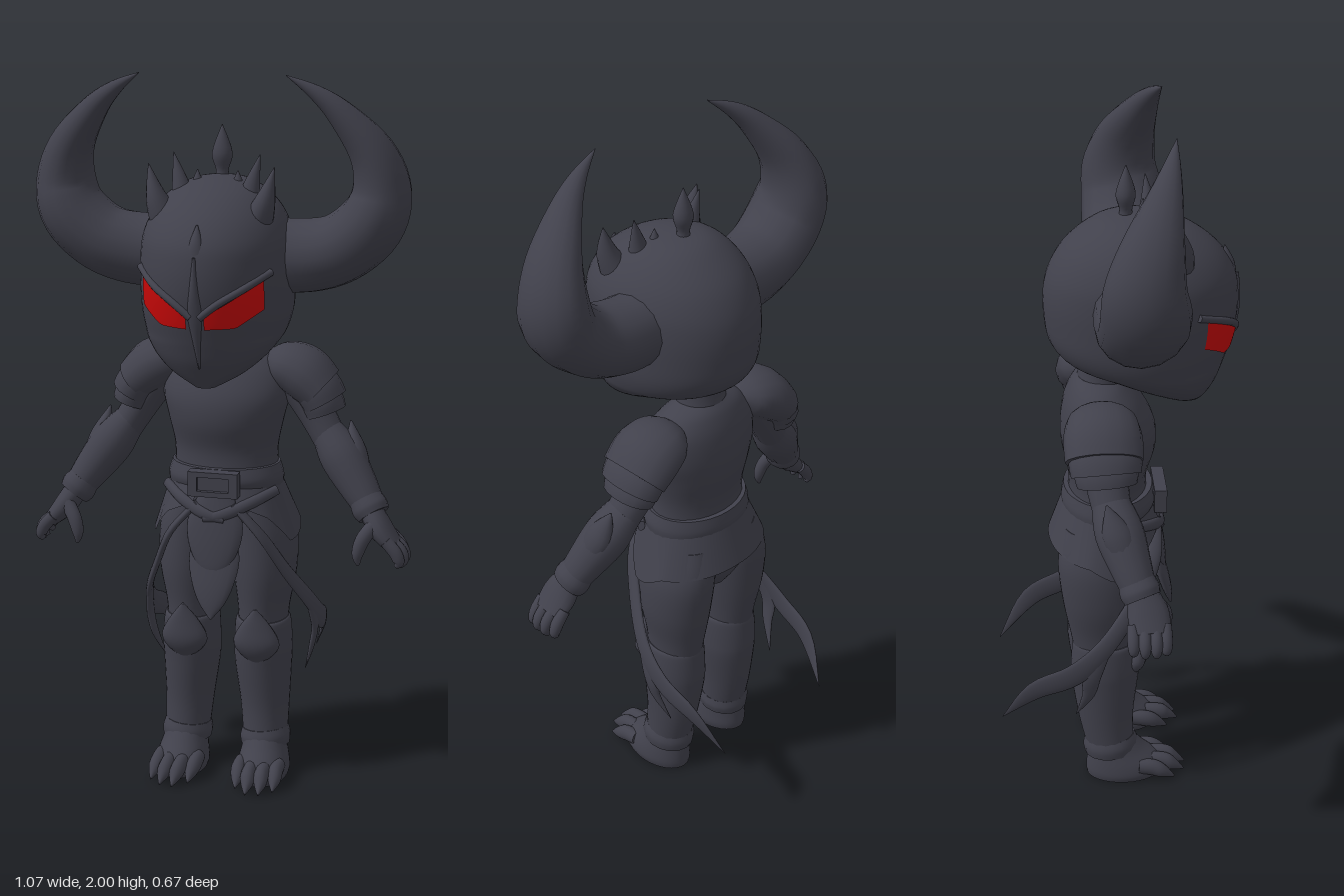
import * as THREE from 'three';

const V = (x, y, z) => new THREE.Vector3(x, y, z);
const armour = new THREE.MeshStandardMaterial({ color: 0x41414c, side: THREE.DoubleSide });
armour.name = 'dark armour';
const glow = new THREE.MeshStandardMaterial({ color: 0xc80808, side: THREE.DoubleSide });
glow.name = 'red eyes';

// Smoothly resample rows of numbers, column by column
function resample(rows, k = 5) {
  const out = [], last = rows.length - 1;
  const row = i => rows[Math.min(last, Math.max(0, i))];
  for (let s = 0; s <= last * k; s++) {
    const i = Math.min(last - 1, Math.floor(s / k)), t = s / k - i;
    out.push(row(i).map((p1, c) => {
      const p2 = row(i + 1)[c], m1 = (p2 - row(i - 1)[c]) / 2, m2 = (row(i + 2)[c] - p1) / 2;
      return p1 + m1 * t + (3 * (p2 - p1) - 2 * m1 - m2) * t * t + (2 * (p1 - p2) + m1 + m2) * t * t * t;
    }));
  }
  return out;
}

// Skin a list of closed rings and cap both ends
function skin(rings) {
  const n = rings[0].length, pos = [], idx = [];
  rings.forEach(r => r.forEach(p => pos.push(p.x, p.y, p.z)));
  for (let i = 0; i < rings.length - 1; i++) for (let j = 0; j < n; j++) {
    const a = i * n + j, b = i * n + (j + 1) % n;
    idx.push(a, b, b + n, a, b + n, a + n);
  }
  [rings[0], rings[rings.length - 1]].forEach((r, end) => {
    const base = pos.length / 3, mid = V(0, 0, 0);
    r.forEach(p => { pos.push(p.x, p.y, p.z); mid.addScaledVector(p, 1 / n); });
    pos.push(mid.x, mid.y, mid.z);
    for (let j = 0; j < n; j++) {
      const a = base + j, b = base + (j + 1) % n;
      idx.push(base + n, ...(end ? [a, b] : [b, a]));
    }
  });
  const g = new THREE.BufferGeometry();
  g.setAttribute('position', new THREE.Float32BufferAttribute(pos, 3));
  g.setIndex(idx);
  g.computeVertexNormals();
  return g;
}

// Horizontal oval sections: [y, centreX, halfWidth, backZ, frontZ]
function stack(rows, s = 1, n = 32) {
  return skin(resample(rows).map(([y, cx, rx, zb, zf]) => Array.from({ length: n }, (_, j) => {
    const a = j / n * Math.PI * 2;
    return V(s * cx + rx * Math.sin(a), y, (zb + zf) / 2 + (zf - zb) / 2 * Math.cos(a));
  })));
}

// Tapering oval tube: [x, y, z, radius across, radius along ref]
function limb(rows, s = 1, ref = V(0, 0, 1), n = 16) {
  const R = resample(rows.map(r => [s * r[0], ...r.slice(1)]));
  const P = R.map(r => V(r[0], r[1], r[2]));
  return skin(R.map((r, i) => {
    const t = P[Math.min(i + 1, P.length - 1)].clone().sub(P[Math.max(0, i - 1)]).normalize();
    const b = ref.clone().addScaledVector(t, -ref.dot(t)).normalize();
    const c = b.clone().cross(t);
    return Array.from({ length: n }, (_, j) => {
      const a = j / n * Math.PI * 2;
      return P[i].clone().addScaledVector(c, Math.max(0.001, r[3]) * Math.cos(a))
        .addScaledVector(b, Math.max(0.001, r[4]) * Math.sin(a));
    });
  }));
}

// Open surface given by a function of u, v
function sheet(nu, nv, f) {
  const g = new THREE.PlaneGeometry(1, 1, nu, nv), uv = g.attributes.uv;
  for (let i = 0; i < uv.count; i++) g.attributes.position.setXYZ(i, ...f(uv.getX(i), uv.getY(i)));
  g.computeVertexNormals();
  return g;
}

// Piecewise linear lookup in [[x, y], ...]
function lookup(table, x) {
  let i = 0;
  while (i < table.length - 2 && x > table[i + 1][0]) i++;
  const [a, b] = [table[i], table[i + 1]];
  return THREE.MathUtils.lerp(a[1], b[1], THREE.MathUtils.clamp((x - a[0]) / (b[0] - a[0]), 0, 1));
}

const HEAD = [
  [1.185, 0, .03, .17, .235], [1.22, 0, .095, .11, .255], [1.26, 0, .145, .02, .277], [1.3, 0, .178, -.07, .292],
  [1.33, 0, .192, -.14, .302], [1.38, 0, .203, -.178, .317], [1.45, 0, .206, -.19, .33], [1.52, 0, .205, -.19, .33],
  [1.58, 0, .198, -.175, .315], [1.64, 0, .172, -.14, .27], [1.69, 0, .128, -.085, .2], [1.72, 0, .07, -.03, .12],
  [1.73, 0, .004, .04, .05]];
const headRows = resample(HEAD);
function headZ(x, y) {
  const r = c => lookup(headRows.map(q => [q[0], q[c]]), y);
  const zb = r(3), zf = r(4);
  return (zb + zf) / 2 + (zf - zb) / 2 * Math.sqrt(Math.max(0, 1 - (x / r(2)) ** 2));
}

export function createModel() {
  const model = new THREE.Group();
  const add = (name, geo, mat = armour) => {
    const m = new THREE.Mesh(geo, mat);
    m.name = name;
    model.add(m);
  };

  // Helmet with ridge, forehead spike and crown
  add('helmet', stack(HEAD, 1, 48));
  add('noseRidge', limb([1.55, 1.47, 1.4, 1.33, 1.25].map((y, i) =>
    [0, y, headZ(0, y) - .004, [.004, .012, .02, .012, .003][i], .011])));
  add('foreheadSpike', limb([[0, 1.55, .305, .03, .02], [0, 1.585, .302, .018, .016], [0, 1.63, .292, .002, .002]]));
  add('crownCentre', limb([[0, 1.69, .03, .03, .03], [0, 1.735, .03, .017, .017], [0, 1.785, .03, .028, .026], [0, 1.86, .03, .001, .001]]));
  add('neck', stack([[1.18, 0, .09, -.12, .03], [1.27, 0, .07, -.1, .03], [1.38, 0, .07, -.09, .04]]));

  // Torso, pelvis, belt
  add('torso', stack([
    [.84, 0, .16, -.15, .09], [.9, 0, .148, -.132, .09], [.97, 0, .147, -.13, .09], [1.05, 0, .163, -.146, .113],
    [1.12, 0, .178, -.15, .11], [1.19, 0, .165, -.14, .075], [1.24, 0, .12, -.12, .035], [1.265, 0, .07, -.1, .01]]));
  add('pelvis', stack([[.66, 0, .04, -.12, .03], [.72, 0, .12, -.155, .06], [.8, 0, .168, -.165, .09], [.87, 0, .155, -.145, .1]]));
  add('belt', stack([[.865, 0, .162, -.148, .108], [.89, 0, .163, -.15, .116], [.925, 0, .153, -.143, .106]]));
  const frame = new THREE.Shape([[-.07, -.035], [.07, -.035], [.07, .035], [-.07, .035]].map(p => new THREE.Vector2(...p)));
  frame.holes.push(new THREE.Path([[-.045, -.02], [-.045, .02], [.045, .02], [.045, -.02]].map(p => new THREE.Vector2(...p))));
  add('buckleFrame', new THREE.ExtrudeGeometry(frame, { depth: .035, bevelEnabled: false }).translate(0, .89, .108));
  add('bucklePlate', new THREE.BoxGeometry(.1, .045, .03).translate(0, .89, .115));

  // Hip skirt: open at the front, pointed at the sides
  const hem = [[.3, .83], [.75, .79], [1.2, .71], [1.5, .72], [1.9, .755], [Math.PI, .765]];
  add('hipSkirt', sheet(64, 8, (u, v) => {
    const a = .3 + u * (2 * Math.PI - .6), d = 1 - v, low = lookup(hem, Math.min(a, 2 * Math.PI - a));
    const rz = .128 + .03 * d;
    return [(.157 + .053 * d) * Math.sin(a), THREE.MathUtils.lerp(.88, low, d), -.02 - .01 * d + rz * Math.cos(a)];
  }));

  // Layered loincloth
  add('loinclothUpper', limb([[0, .86, .1, .045, .02], [0, .78, .113, .078, .022], [0, .71, .125, .072, .02], [0, .65, .137, .04, .012], [0, .63, .14, .005, .004]]));
  add('loinclothLower', limb([[0, .74, .108, .06, .015], [0, .67, .124, .072, .018], [0, .6, .143, .058, .017], [0, .55, .156, .035, .012], [0, .51, .165, .003, .004]]));

  for (const s of [1, -1]) {
    const side = s > 0 ? 'left' : 'right';
    const part = (name, rows, ref) => add(side + name, limb(rows, s, ref));

    // Slanted eye laid on the helmet surface, and its brow
    add(side + 'Eye', sheet(14, 6, (u, v) => {
      const k = s > 0 ? u : 1 - u;
      const x = .024 + .14 * k;
      const top = 1.395 + .087 * k, bottom = lookup([[0, 1.36], [.55, 1.362], [1, 1.405]], k);
      const y = THREE.MathUtils.lerp(bottom, top, v);
      return [s * x, y, headZ(x, y) + .005];
    }), glow);
    part('Brow', [[.012, 1.392], [.06, 1.43], [.12, 1.466], [.175, 1.5]].map(([x, y]) => [x, y, headZ(x, y), .01, .012]));

    // Great curved horn
    part('Horn', [
      [.12, 1.52, .035, .1, .1], [.23, 1.518, .036, .1, .106], [.33, 1.545, .045, .094, .112], [.41, 1.615, .05, .09, .114],
      [.435, 1.7, .045, .079, .104], [.41, 1.8, .065, .06, .08], [.335, 1.9, .1, .037, .045], [.27, 1.957, .122, .02, .022], [.197, 2, .14, .001, .001]]);

    // Side crown spikes
    part('CrownInner', [[.05, 1.69, .08, .025, .025], [.055, 1.715, .08, .014, .014], [.055, 1.745, .08, .001, .001]]);
    part('CrownMiddle', [[.09, 1.67, .1, .032, .032], [.1, 1.72, .097, .02, .02], [.118, 1.79, .09, .001, .001]]);
    part('CrownOuter', [[.125, 1.62, .15, .042, .05], [.148, 1.68, .158, .027, .034], [.17, 1.765, .15, .001, .001]]);

    // Shoulder plates
    part('Pauldron', [[.11, 1.215, -.045, .02, .04], [.15, 1.205, -.045, .058, .088], [.21, 1.18, -.045, .075, .105], [.262, 1.135, -.045, .066, .104]]);
    part('PauldronMiddle', [[.2, 1.19, -.042, .05, .08], [.25, 1.14, -.042, .063, .097], [.275, 1.1, -.04, .062, .094]]);
    part('PauldronLower', [[.22, 1.16, -.04, .045, .07], [.263, 1.105, -.04, .057, .085], [.278, 1.07, -.038, .056, .08]]);

    // Arm, gauntlet and hand
    part('UpperArm', [[.18, 1.18, -.045, .06, .07], [.25, 1.07, -.038, .05, .058], [.31, .97, -.02, .045, .05]]);
    part('Gauntlet', [[.283, 1.02, -.03, .045, .052], [.33, .955, -.01, .061, .066], [.385, .878, .018, .053, .056], [.422, .825, .038, .042, .046]]);
    part('ElbowFin', [[.38, .91, .005, .035, .04], [.365, .975, -.02, .03, .04], [.347, 1.05, -.045, .002, .003]]);
    part('Cuff', [[.405, .85, .03, .046, .05], [.42, .827, .038, .051, .055], [.432, .81, .045, .045, .05]]);
    part('Palm', [[.425, .82, .045, .033, .042], [.455, .775, .058, .032, .056], [.492, .735, .062, .022, .052]]);
    [.015, .045, .075, .102].forEach((z, i) => {
      const e = i === 0 || i === 3 ? .008 : 0;
      part('Finger' + (i + 1), [[.475, .755, z, .017, .016], [.51 - e, .725, z, .018, .017], [.521 - e, .698, z, .015, .014], [.512 - e, .677 + e, z, .006, .006]]);
    });
    part('Thumb', [[.44, .795, .085, .02, .02], [.412, .755, .105, .02, .019], [.4, .715, .112, .016, .015], [.402, .685, .112, .005, .005]]);

    // Leg, shin armour and knee plates
    add(side + 'Thigh', stack([
      [.83, .08, .08, -.145, .07], [.73, .102, .094, -.165, .073], [.61, .108, .09, -.155, .07], [.5, .105, .074, -.135, .055], [.42, .105, .068, -.12, .05]], s));
    add(side + 'Shin', stack([
      [.465, .105, .072, -.122, .055], [.45, .105, .079, -.128, .062], [.38, .106, .083, -.133, .066], [.32, .106, .081, -.13, .06],
      [.2, .112, .07, -.112, .047], [.1, .116, .064, -.09, .05]], s));
    part('KneePlate', [[.105, .515, .075, .004, .004], [.105, .46, .063, .045, .022], [.105, .41, .055, .067, .032], [.105, .37, .048, .045, .025], [.105, .34, .05, .005, .008]]);
    part('AnkleCuff', [[.114, .13, -.022, .066, .074], [.116, .105, -.02, .073, .08], [.117, .08, -.018, .07, .078]]);

    // Foot with clawed toes
    add(side + 'Foot', stack([[0, .12, .07, -.09, .13], [.02, .12, .075, -.092, .14], [.05, .12, .071, -.09, .125], [.09, .118, .062, -.085, .08], [.13, .116, .055, -.08, .045]], s));
    [.065, .102, .139, .173].forEach((x, i) => {
      const z = [.165, .2, .195, .165][i];
      part('Toe' + (i + 1), [[x, .045, .06, .02, .022], [x, .04, z - .065, .021, .025], [x + .003, .027, z - .035, .018, .02], [x + .005, .008, z, .002, .003]], V(0, 1, 0));
    });

    // Cross strap and trailing fork-ended sash
    part('Strap', [[.158, .86, .04, .014, .01], [.1, .835, .098, .016, .012], [.03, .805, .13, .016, .01], [-.03, .79, .132, .01, .008]]);
    part('Sash', [
      [.05, .83, .11, .018, .01], [.13, .74, .1, .022, .01], [.185, .63, .045, .024, .01], [.235, .52, -.04, .028, .01],
      [.25, .44, -.13, .035, .009], [.24, .385, -.24, .03, .008], [.2, .27, -.335, .001, .001]], V(1, 0, 0));
    part('SashFork', [[.237, .51, -.045, .02, .009], [.246, .43, -.08, .026, .009], [.235, .36, -.09, .018, .008], [.21, .275, -.125, .001, .001]], V(1, 0, 0));
  }
  return model;
}
